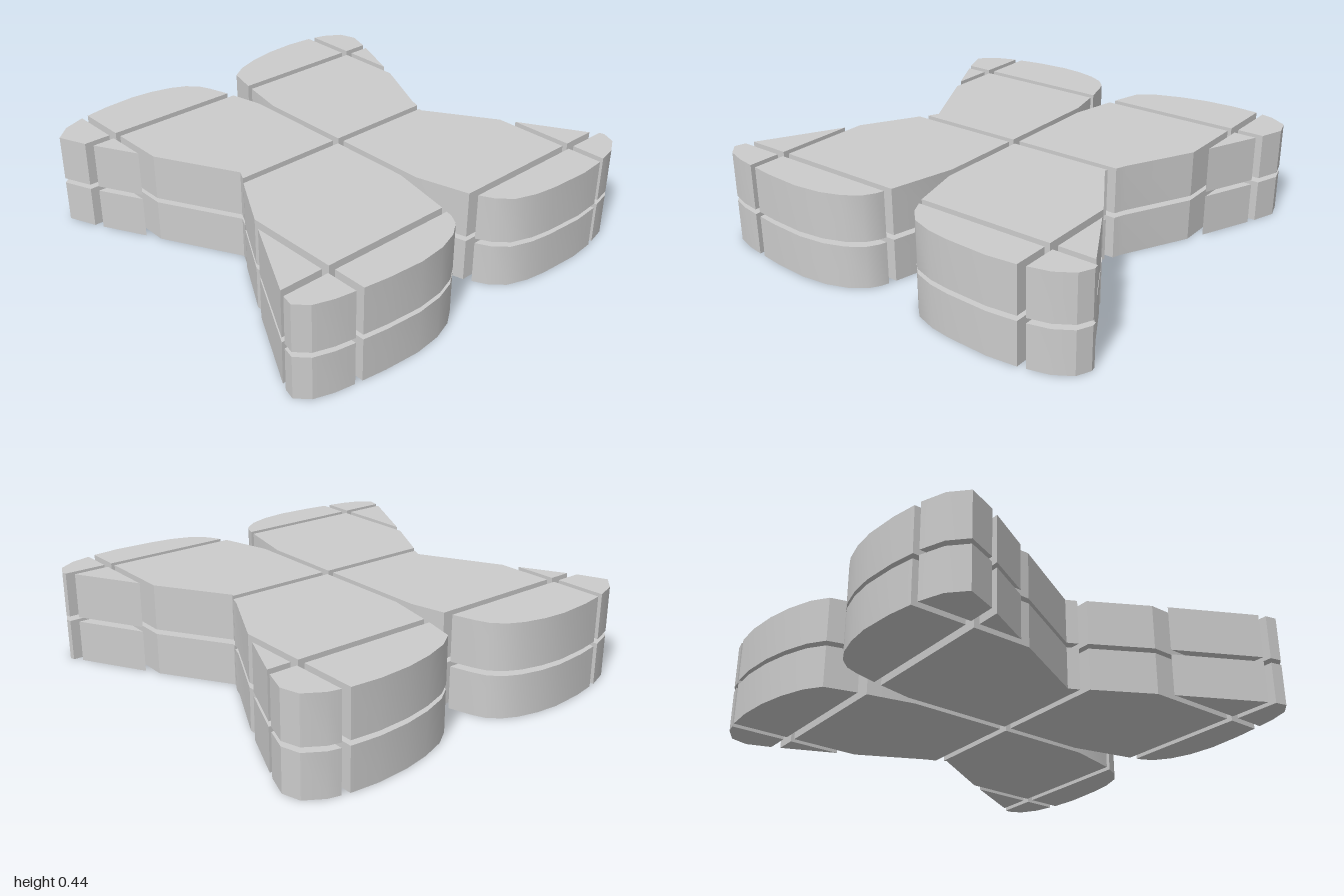
import * as THREE from 'three';
import { toCreasedNormals } from 'three/addons/utils/BufferGeometryUtils.js';

// Outlines of the four lobes as [x, z], each closed along the central seams
const lobes = {
  backLeftward: [[-0.01, 0.03], [-0.54, 0.03], [-0.515, -0.02], [-0.715, -0.4], [-0.75, -0.47], [-0.88, -0.715],
    [-0.935, -0.85], [-0.86, -0.92], [-0.75, -0.96], [-0.6, -0.988], [-0.44, -1], [-0.33, -0.99],
    [-0.23, -0.965], [-0.16, -0.93], [-0.11, -0.88], [-0.085, -0.82], [-0.055, -0.715], [-0.01, -0.51]],
  backRightward: [[0.025, 0.03], [0.025, -0.45], [0.08, -0.715], [0.12, -0.865], [0.2, -0.92], [0.32, -0.963],
    [0.45, -0.99], [0.6, -1], [0.737, -0.99], [0.83, -0.968], [0.915, -0.915], [0.94, -0.83],
    [0.9, -0.715], [0.773, -0.42], [0.737, -0.34], [0.575, -0.02], [0.557, 0.03]],
  frontLeftward: [[-0.01, 0.065], [-0.01, 0.47], [-0.08, 0.78], [-0.09, 0.815], [-0.1, 0.85], [-0.13, 0.9],
    [-0.2, 0.95], [-0.3, 0.985], [-0.43, 1], [-0.6, 0.99], [-0.75, 0.97], [-0.84, 0.955], [-0.93, 0.925],
    [-0.983, 0.87], [-0.97, 0.815], [-0.955, 0.78], [-0.75, 0.395], [-0.715, 0.33], [-0.565, 0.065]],
  frontRightward: [[0.025, 0.065], [0.535, 0.065], [0.53, 0.08], [0.737, 0.41], [0.773, 0.475], [0.945, 0.78],
    [0.975, 0.815], [0.98, 0.84], [0.95, 0.905], [0.87, 0.955], [0.737, 0.987], [0.6, 1], [0.4, 0.99],
    [0.3, 0.975], [0.2, 0.94], [0.14, 0.88], [0.107, 0.815], [0.09, 0.78], [0.025, 0.53]],
};

// Block ranges between the seams
const xRanges = [[-1.1, -0.75], [-0.715, -0.01], [0.025, 0.737], [0.773, 1.1]];
const zRanges = [[-1.1, -0.715], [-0.675, 0.03], [0.065, 0.78], [0.815, 1.1]];
const yRanges = [[0, 0.2], [0.223, 0.44]];

// Keeps the part of a polygon where sign * (coordinate - limit) >= 0
function clip(points, axis, limit, sign) {
  const kept = [];
  points.forEach((a, i) => {
    const b = points[(i + 1) % points.length];
    const da = sign * (a[axis] - limit);
    const db = sign * (b[axis] - limit);
    if (da >= 0) kept.push(a);
    if (da * db < 0) {
      const t = da / (da - db);
      kept.push([a[0] + t * (b[0] - a[0]), a[1] + t * (b[1] - a[1])]);
    }
  });
  return kept;
}

function clipRange(points, axis, [low, high]) {
  return clip(clip(points, axis, low, 1), axis, high, -1);
}

function dropRepeats(points) {
  return points.filter((p, i) => {
    const q = points[(i + 1) % points.length];
    return Math.hypot(p[0] - q[0], p[1] - q[1]) > 1e-5;
  });
}

export function createModel() {
  const model = new THREE.Group();
  model.name = 'segmentedCross';
  const material = new THREE.MeshStandardMaterial({ color: 0xcccccc });

  for (const [lobeName, outline] of Object.entries(lobes)) {
    const lobe = new THREE.Group();
    lobe.name = lobeName + 'Lobe';
    model.add(lobe);

    for (const zRange of zRanges) {
      const strip = clipRange(outline, 1, zRange);
      for (const xRange of xRanges) {
        const piece = dropRepeats(clipRange(strip, 0, xRange));
        if (piece.length < 3) continue;

        // Same footprint for the lower and the upper layer
        const shape = new THREE.Shape(piece.map(([x, z]) => new THREE.Vector2(x, -z)));
        yRanges.forEach(([bottom, top], layer) => {
          const solid = new THREE.ExtrudeGeometry(shape, { depth: top - bottom, bevelEnabled: false });
          solid.rotateX(-Math.PI / 2);
          const block = new THREE.Mesh(toCreasedNormals(solid, 0.45), material);
          block.name = layer ? 'upperBlock' : 'lowerBlock';
          block.position.y = bottom;
          lobe.add(block);
        });
      }
    }
  }
  return model;
}
